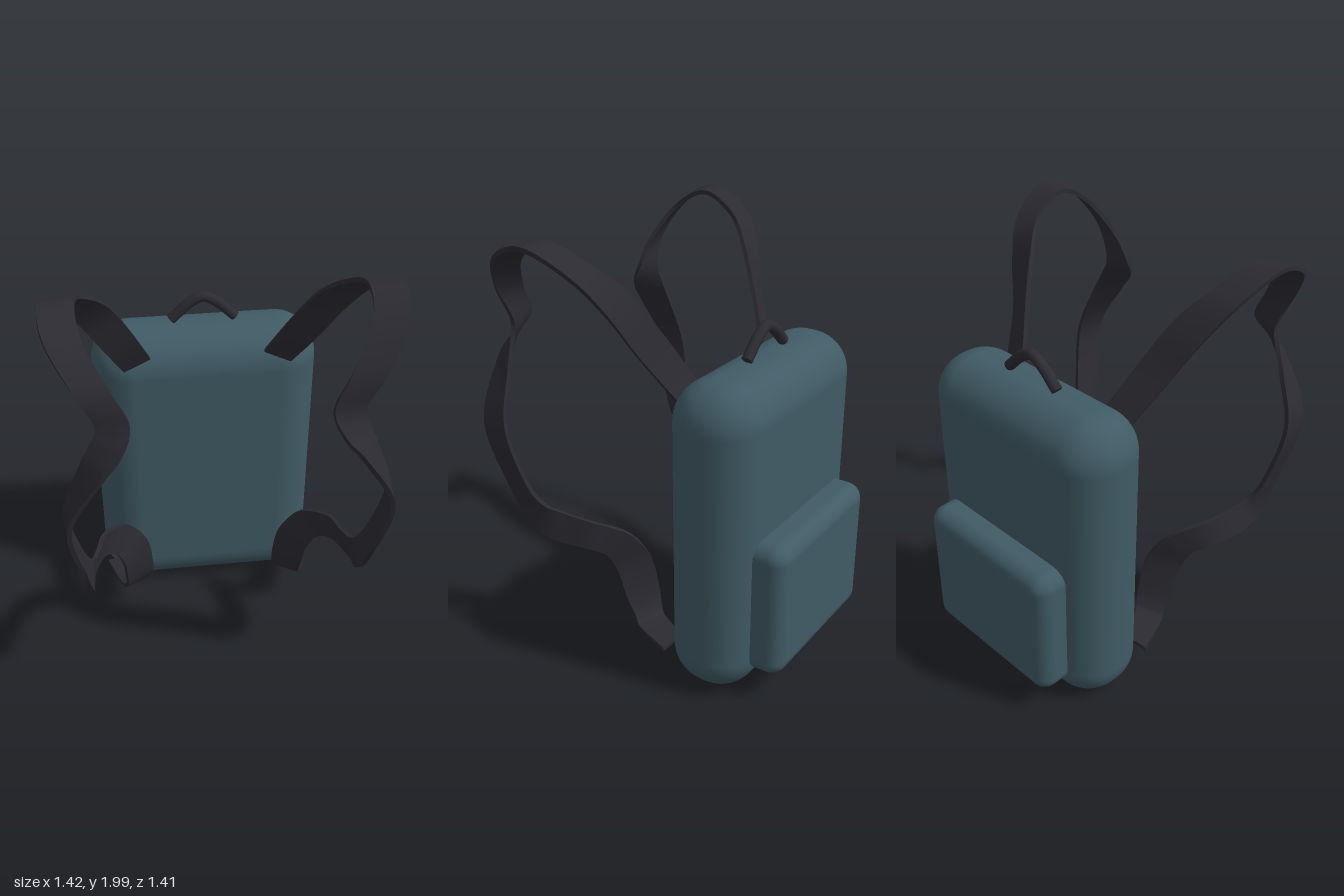
import * as THREE from 'three';
import { RoundedBoxGeometry } from 'three/addons/geometries/RoundedBoxGeometry.js';

const fabric = new THREE.MeshStandardMaterial({ color: 0x405b65 });
fabric.name = 'teal fabric';
const webbing = new THREE.MeshStandardMaterial({ color: 0x2c2b32 });
webbing.name = 'dark webbing';

// Strap stations: outer edge point, then inner edge point
const STATIONS = [
  [[0.39, 1.35, -0.18], [0.265, 1.405, -0.19]],
  [[0.48, 1.55, -0.05], [0.355, 1.62, -0.08]],
  [[0.57, 1.73, 0.03], [0.44, 1.80, 0.03]],
  [[0.655, 1.885, 0.14], [0.525, 1.91, 0.15]],
  [[0.705, 1.985, 0.34], [0.565, 1.985, 0.33]],
  [[0.69, 1.92, 0.51], [0.55, 1.90, 0.49]],
  [[0.60, 1.76, 0.605], [0.46, 1.74, 0.585]],
  [[0.525, 1.60, 0.60], [0.395, 1.60, 0.615]],
  [[0.55, 1.50, 0.585], [0.435, 1.50, 0.675]],
  [[0.595, 1.39, 0.57], [0.52, 1.40, 0.70]],
  [[0.675, 1.15, 0.54], [0.66, 1.15, 0.68]],
  [[0.635, 0.88, 0.48], [0.62, 0.85, 0.615]],
  [[0.59, 0.765, 0.43], [0.60, 0.66, 0.515]],
  [[0.56, 0.735, 0.33], [0.60, 0.605, 0.38]],
  [[0.525, 0.715, 0.20], [0.55, 0.585, 0.22]],
  [[0.42, 0.645, 0.075], [0.49, 0.54, 0.155]],
  [[0.335, 0.50, 0.02], [0.45, 0.44, 0.125]],
  [[0.31, 0.33, -0.005], [0.44, 0.30, 0.085]],
  [[0.315, 0.24, -0.02], [0.44, 0.22, 0.04]],
  [[0.34, 0.195, -0.06], [0.465, 0.18, -0.01]],
  [[0.40, 0.18, -0.20], [0.53, 0.175, -0.19]],
];

// Twisting flat band with a thin rectangular section; side = 1 left, -1 right
function strapGeometry(side) {
  const edge = (k) => new THREE.CatmullRomCurve3(
    STATIONS.map((s) => new THREE.Vector3(s[k][0] * side, s[k][1], s[k][2])), false, 'catmullrom', 0.5);
  const outer = edge(0), inner = edge(1), steps = 120, half = 0.01;
  const rings = [];
  for (let i = 0; i <= steps; i++) {
    const t = i / steps;
    const a = outer.getPoint(t), b = inner.getPoint(t);
    const along = outer.getTangent(t).add(inner.getTangent(t));
    const n = along.cross(a.clone().sub(b)).setLength(half);
    rings.push([a.clone().add(n), b.clone().add(n), b.clone().sub(n), a.clone().sub(n)]);
  }
  const pos = [], idx = [];
  const push = (p) => pos.push(p.x, p.y, p.z);
  // Each of the four sides has its own vertices, so the edges stay sharp
  for (let k = 0; k < 4; k++) {
    const base = pos.length / 3;
    rings.forEach((r) => { push(r[k]); push(r[(k + 1) % 4]); });
    for (let i = 0; i < steps; i++) {
      const o = base + i * 2;
      idx.push(o, o + 1, o + 3, o, o + 3, o + 2);
    }
  }
  // End caps
  for (const ring of [[...rings[0]].reverse(), rings[steps]]) {
    const o = pos.length / 3;
    ring.forEach(push);
    idx.push(o, o + 1, o + 2, o, o + 2, o + 3);
  }
  const g = new THREE.BufferGeometry();
  g.setAttribute('position', new THREE.Float32BufferAttribute(pos, 3));
  g.setIndex(idx);
  g.computeVertexNormals();
  return g;
}

export function createModel() {
  const group = new THREE.Group();
  group.name = 'backpack';
  const add = (name, geometry, material, parent = group) => {
    const mesh = new THREE.Mesh(geometry, material);
    mesh.name = name;
    parent.add(mesh);
    return mesh;
  };

  // Main compartment and back pocket
  add('body', new RoundedBoxGeometry(1.07, 1.485, 0.407, 8, 0.19), fabric).position.set(0, 0.7425, -0.367);
  add('pocket', new RoundedBoxGeometry(0.79, 0.66, 0.24, 6, 0.075), fabric).position.set(0, 0.46, -0.588);

  // Carry handle with closed ends
  const handle = new THREE.Group();
  handle.name = 'handle';
  group.add(handle);
  const path = new THREE.CatmullRomCurve3(
    [[-0.15, 1.5], [-0.06, 1.582], [0, 1.609], [0.06, 1.582], [0.15, 1.5]]
      .map(([x, y]) => new THREE.Vector3(x, y, -0.365)));
  add('handleLoop', new THREE.TubeGeometry(path, 32, 0.025, 12), webbing, handle);
  for (const t of [0, 1]) {
    const cap = add('handleEnd', new THREE.CircleGeometry(0.025, 12), webbing, handle);
    cap.position.copy(path.getPoint(t));
    cap.quaternion.setFromUnitVectors(new THREE.Vector3(0, 0, 1), path.getTangent(t).multiplyScalar(t ? 1 : -1));
  }

  // Shoulder straps
  add('leftStrap', strapGeometry(1), webbing);
  add('rightStrap', strapGeometry(-1), webbing);
  return group;
}
